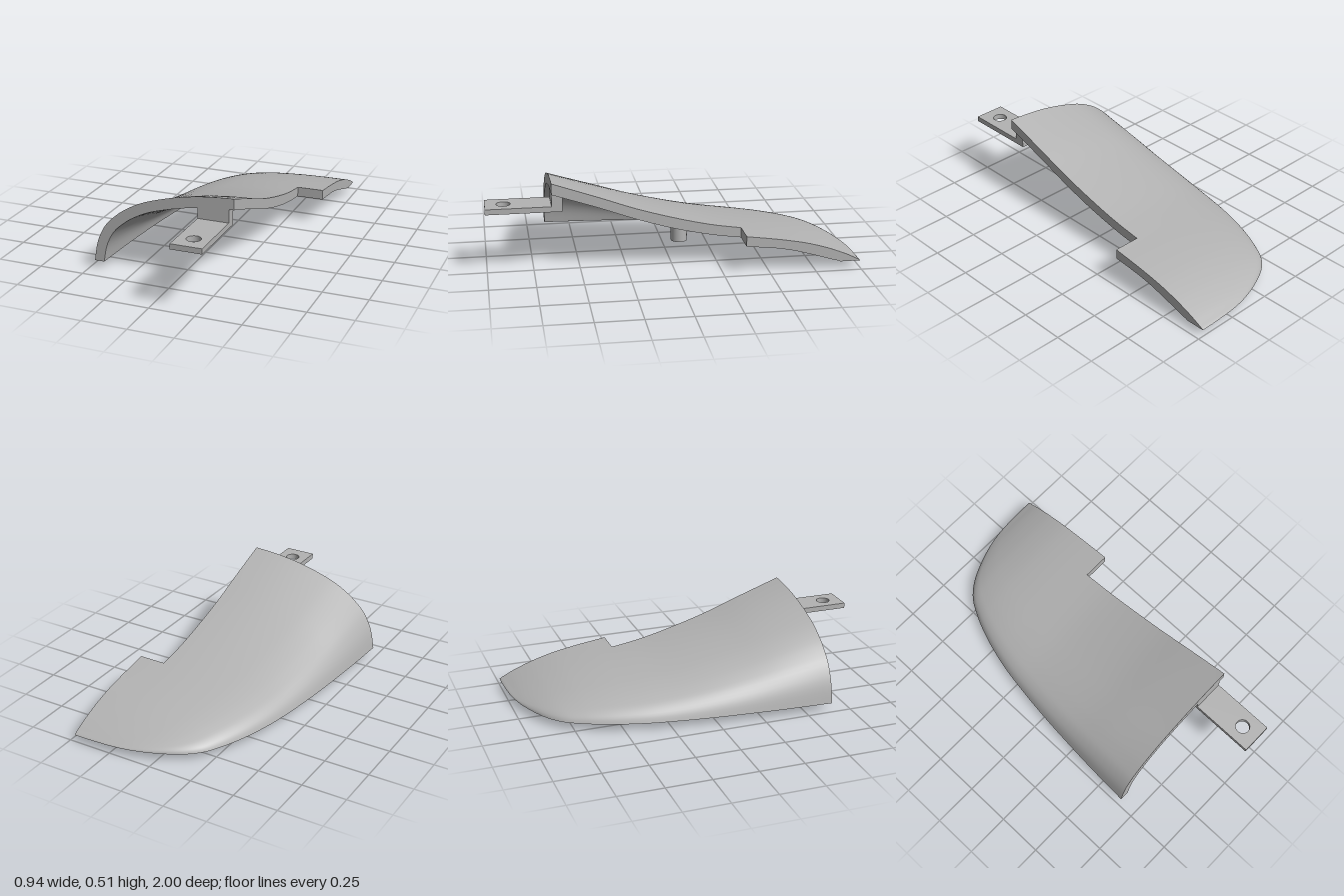
import * as THREE from 'three';

const BASE = 0.04, RIGHT = 0.47, STEP_X = 0.32;
const N = 28, M = 34; // columns up to the step edge, and up to the far right
const SUB = 5, NOTCH = 5 * SUB; // rows per station, row of the step

// Cross-section shape: (across 0..1, height 0..1)
const profile = new THREE.CatmullRomCurve3([
  [0, 0], [0.016, 0.19], [0.037, 0.32], [0.079, 0.47], [0.132, 0.577], [0.185, 0.662], [0.29, 0.78],
  [0.397, 0.855], [0.503, 0.912], [0.608, 0.953], [0.714, 0.979], [0.84, 0.994], [1, 1],
].map(([u, f]) => new THREE.Vector3(u, f, 0))).getPoints(240);

function profileHeight(u) {
  const k = Math.max(1, profile.findIndex((p) => p.x >= u - 1e-9));
  const a = profile[k - 1], b = profile[k];
  return THREE.MathUtils.lerp(a.y, b.y, THREE.MathUtils.clamp((u - a.x) / (b.x - a.x), 0, 1));
}

// Stations from front to tail: [left edge x, crest height, z]
const outerStations = [
  [-0.475, 0.508, 0.65], [-0.462, 0.42, 0.4], [-0.447, 0.347, 0.2], [-0.428, 0.287, 0], [-0.402, 0.238, -0.2],
  [-0.372, 0.21, -0.37], [-0.338, 0.192, -0.5], [-0.304, 0.176, -0.6], [-0.26, 0.156, -0.7], [-0.2, 0.128, -0.8],
  [-0.12, 0.103, -0.87], [0, 0.078, -0.93], [0.12, 0.058, -0.97], [0.23, 0.048, -0.99], [0.4, BASE, -1],
];
const innerStations = [
  [-0.42, 0.447, 0.65], [-0.407, 0.362, 0.4], [-0.392, 0.288, 0.2], [-0.372, 0.226, 0], [-0.346, 0.18, -0.2],
  [-0.314, 0.154, -0.37], [-0.282, 0.143, -0.47], [-0.25, 0.133, -0.55], [-0.2, 0.117, -0.63], [-0.135, 0.095, -0.71],
  [-0.06, 0.076, -0.775], [0.04, 0.06, -0.825], [0.14, 0.05, -0.86], [0.24, 0.045, -0.88], [0.4, BASE, -0.89],
];
const ROWS = (outerStations.length - 1) * SUB;

// Grid of points, rows along the length and columns across
function skinGrid(stations) {
  const curve = new THREE.CatmullRomCurve3(stations.map((s) => new THREE.Vector3(...s)));
  return Array.from({ length: ROWS + 1 }, (_, i) => {
    const { x: edge, y: crest, z } = curve.getPoint(i / ROWS);
    const uStep = Math.max(0.5, (STEP_X - edge) / (RIGHT - edge));
    return Array.from({ length: M + 1 }, (_, j) => {
      const u = j <= N ? uStep * (j / N) ** 2.2 : THREE.MathUtils.lerp(uStep, 1, (j - N) / (M - N));
      return new THREE.Vector3(edge + u * (RIGHT - edge), BASE + (crest - BASE) * profileHeight(u), z);
    });
  });
}

// Smooth skin, leaving out the corner in front of the step
function skinGeometry(grid, flip) {
  const index = [];
  for (let i = 0; i < ROWS; i++) {
    for (let j = 0; j < (i < NOTCH ? N : M); j++) {
      const a = i * (M + 1) + j, b = a + 1, d = a + M + 1, c = d + 1;
      index.push(...(flip ? [a, c, b, a, d, c] : [a, b, c, a, c, d]));
    }
  }
  const geo = new THREE.BufferGeometry().setFromPoints(grid.flat());
  geo.setIndex(index);
  geo.computeVertexNormals();
  return geo;
}

// Flat rim joining both skins around the perimeter
function rimGeometry(outer, inner) {
  const path = [];
  for (let j = 0; j < N; j++) path.push([0, j]);
  for (let i = 0; i < NOTCH; i++) path.push([i, N]);
  for (let j = N; j < M; j++) path.push([NOTCH, j]);
  for (let i = NOTCH; i < ROWS; i++) path.push([i, M]);
  for (let j = M; j > 0; j--) path.push([ROWS, j]);
  for (let i = ROWS; i >= 0; i--) path.push([i, 0]);
  const points = [];
  for (let k = 0; k < path.length - 1; k++) {
    const [i, j] = path[k], [p, q] = path[k + 1];
    points.push(inner[i][j], inner[p][q], outer[p][q], inner[i][j], outer[p][q], outer[i][j]);
  }
  const geo = new THREE.BufferGeometry().setFromPoints(points);
  geo.computeVertexNormals();
  return geo;
}

export function createModel() {
  const model = new THREE.Group();
  model.name = 'curvedCover';
  const grey = new THREE.MeshStandardMaterial({ color: 0xb3b3b3 });
  grey.name = 'grey';
  const add = (name, geo, parent = model) => {
    const mesh = new THREE.Mesh(geo, grey);
    mesh.name = name;
    parent.add(mesh);
    return mesh;
  };

  // Shell
  const shell = new THREE.Group();
  shell.name = 'shell';
  model.add(shell);
  const outer = skinGrid(outerStations), inner = skinGrid(innerStations);
  add('outerSkin', skinGeometry(outer, false), shell);
  add('innerSkin', skinGeometry(inner, true), shell);
  add('rim', rimGeometry(outer, inner), shell);

  // Locating post under the shell
  add('post', new THREE.CylinderGeometry(0.046, 0.046, 0.185, 40)).position.set(-0.116, 0.0925, -0.1);

  // Mounting bracket: upright block and drilled tab
  const bracket = new THREE.Group();
  bracket.name = 'bracket';
  model.add(bracket);
  add('bracketUpright', new THREE.BoxGeometry(0.172, 0.11, 0.058), bracket).position.set(0.207, 0.396, 0.62);
  const tab = new THREE.Shape();
  tab.moveTo(0.121, -1).lineTo(0.293, -1).lineTo(0.293, -0.591).lineTo(0.121, -0.591).closePath();
  tab.holes.push(new THREE.Path().absarc(0.207, -0.9, 0.038, 0, Math.PI * 2, true));
  const tabGeo = new THREE.ExtrudeGeometry(tab, { depth: 0.03, bevelEnabled: false, curveSegments: 32 });
  add('bracketTab', tabGeo.rotateX(-Math.PI / 2), bracket).position.y = 0.34;

  return model;
}
